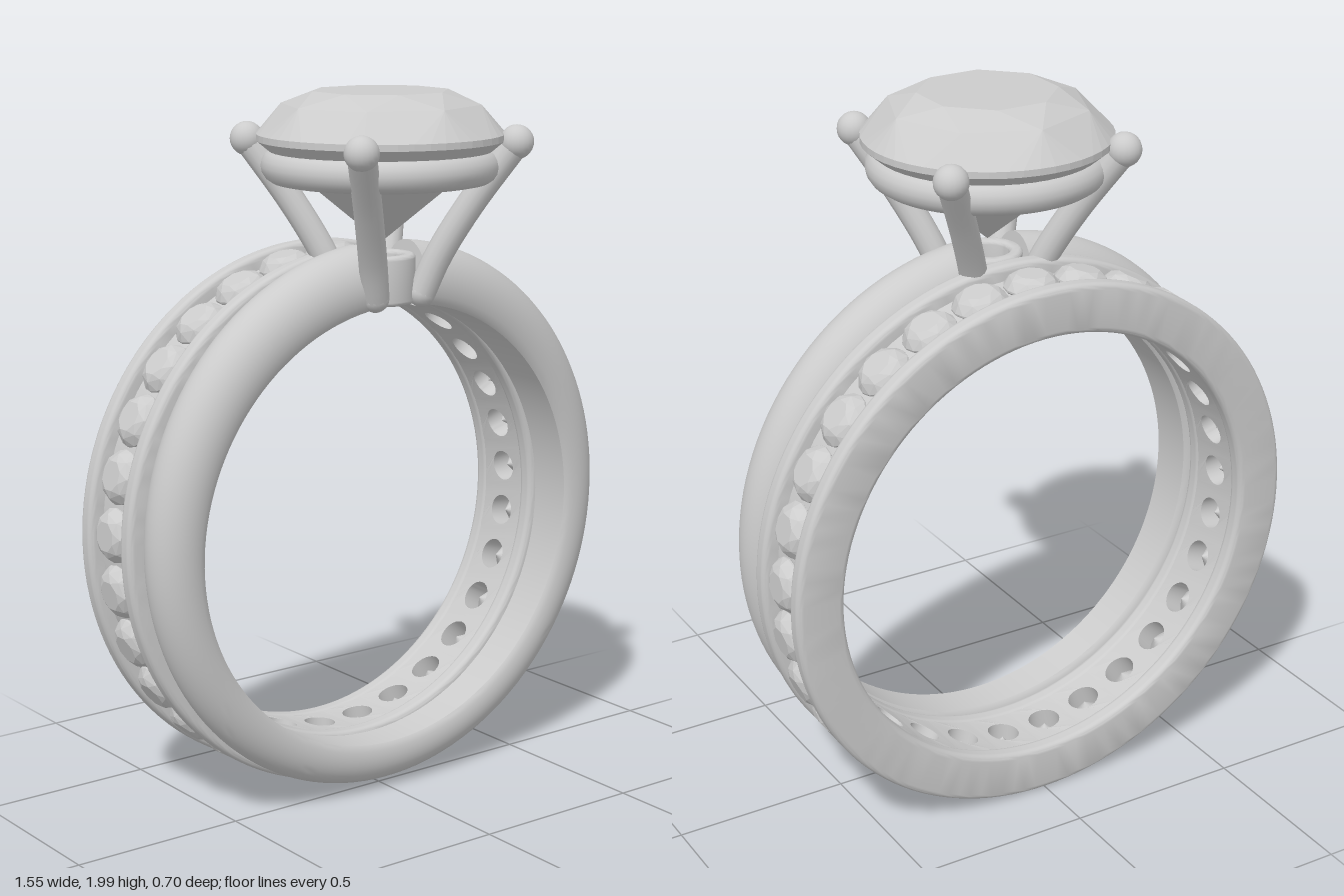
import * as THREE from 'three';
import { mergeGeometries, toCreasedNormals } from 'three/addons/utils/BufferGeometryUtils.js';
import { ConvexGeometry } from 'three/addons/geometries/ConvexGeometry.js';

const CY = 0.785;      // height of the finger hole's centre
const INNER = 0.635;   // finger hole radius
const STONES = 29;

const metal = new THREE.MeshStandardMaterial({ color: 0xcccccc });
const stone = new THREE.MeshStandardMaterial({ color: 0xcccccc, flatShading: true });

function add(parent, name, geometry, material = metal) {
  const mesh = new THREE.Mesh(geometry, material);
  mesh.name = name;
  parent.add(mesh);
  return mesh;
}

// Brilliant cut: table, crown, thin girdle and pointed pavilion; girdle top at y = 0
function gemGeometry(girdleSides) {
  const points = [new THREE.Vector3(0, -0.3, 0)];
  const circle = (n, r, y, offset) => {
    for (let i = 0; i < n; i++) {
      const a = (i + offset) / n * Math.PI * 2;
      points.push(new THREE.Vector3(r * Math.cos(a), y, r * Math.sin(a)));
    }
  };
  circle(8, 0.19, 0.115, 0.5);
  circle(8, 0.275, 0.078, 0);
  circle(girdleSides, 0.34, 0, 0);
  circle(girdleSides, 0.34, -0.018, 0);
  return new ConvexGeometry(points);
}

// Tapering shank with a flat inside and rounded outside, open under the head
function shankGeometry() {
  const steps = 128, sides = 40, gap = 0.115;
  const pos = [], index = [];
  for (let i = -1; i <= steps + 1; i++) {
    const capped = i < 0 || i > steps;
    const k = THREE.MathUtils.clamp(i / steps, 0, 1);
    const t = gap + (Math.PI * 2 - gap * 2) * k;
    const f = 0.5 + 0.5 * Math.cos(t);
    const width = 0.13 + 0.058 * f;
    const thick = 0.122 + 0.05 * f * f;
    for (let j = 0; j <= sides; j++) {
      const a = j / sides * Math.PI * 2;
      const half = capped ? 0 : 1;
      const r = Math.max(INNER, INNER + thick * (0.35 + half * 0.65 * Math.sin(a)));
      pos.push(r * Math.sin(t), r * Math.cos(t), half * width / 2 * Math.cos(a));
    }
  }
  const row = sides + 1;
  for (let i = 0; i < steps + 2; i++) {
    for (let j = 0; j < sides; j++) {
      const a = i * row + j, b = a + row;
      index.push(a, b, a + 1, b, b + 1, a + 1);
    }
  }
  const g = new THREE.BufferGeometry();
  g.setAttribute('position', new THREE.Float32BufferAttribute(pos, 3));
  g.setIndex(index);
  return toCreasedNormals(g.toNonIndexed(), 0.5);
}

// Ring with a rounded-rectangle section, around the y axis
function roundedRing(r0, r1, height, bevel, segments) {
  const pts = [], h = height / 2 - bevel;
  const corners = [[r1 - bevel, -h], [r1 - bevel, h], [r0 + bevel, h], [r0 + bevel, -h]];
  corners.forEach(([x, y], c) => {
    for (let k = 0; k <= 5; k++) {
      const a = (c - 1 + k / 5) * Math.PI / 2;
      pts.push(new THREE.Vector2(x + bevel * Math.cos(a), y + bevel * Math.sin(a)));
    }
  });
  pts.push(pts[0].clone());
  return toCreasedNormals(new THREE.LatheGeometry(pts, segments).toNonIndexed(), 0.5);
}

// Channel floor: one pierced cell per stone, bent around the finger
function channelFloor() {
  const r0 = 0.639, depth = 0.095, arc = Math.PI * 2 / STONES, v = 0.09;
  const cells = [];
  for (let i = 0; i < STONES; i++) {
    const shape = new THREE.Shape();
    shape.moveTo(-arc / 2, -v);
    for (let k = 1; k <= 4; k++) shape.lineTo(arc * (k / 4 - 0.5), -v);
    for (let k = 0; k <= 4; k++) shape.lineTo(arc * (0.5 - k / 4), v);
    const hole = new THREE.Path();
    hole.absellipse(0, 0, 0.045 / r0, 0.045, 0, Math.PI * 2, true);
    shape.holes.push(hole);
    const g = new THREE.ExtrudeGeometry(shape, { depth, bevelEnabled: false, curveSegments: 12 });
    const p = g.attributes.position;
    for (let n = 0; n < p.count; n++) {
      const t = p.getX(n) + i * arc, r = r0 + p.getZ(n);
      p.setXYZ(n, r * Math.sin(t), r * Math.cos(t), -p.getY(n));
    }
    cells.push(g);
  }
  return toCreasedNormals(mergeGeometries(cells), 0.5);
}

function solitaireRing() {
  const ring = new THREE.Group();
  ring.name = 'solitaireRing';
  ring.position.z = 0.01;
  add(ring, 'shank', shankGeometry()).position.y = CY;

  // Head: collar, seat ring and four prongs
  add(ring, 'collar', roundedRing(0.06, 0.096, 0.138, 0.012, 40)).position.y = 1.487;
  const seat = add(ring, 'seatRing', new THREE.TorusGeometry(0.28, 0.048, 16, 64));
  seat.rotation.x = Math.PI / 2;
  seat.position.y = 1.798;

  const profile = [[0.08, 1.447], [0.112, 1.55], [0.172, 1.69], [0.262, 1.865]];
  for (const sx of [-1, 1]) {
    for (const sz of [-1, 1]) {
      const path = new THREE.CatmullRomCurve3(
        profile.map(([d, y]) => new THREE.Vector3(sx * d, y, sz * d)));
      add(ring, 'prong', new THREE.TubeGeometry(path, 16, 0.039, 14));
      add(ring, 'prongTip', new THREE.SphereGeometry(0.047, 20, 14)).position.copy(path.getPoint(1));
      add(ring, 'prongFoot', new THREE.SphereGeometry(0.039, 16, 12)).position.copy(path.getPoint(0));
    }
  }
  add(ring, 'centreStone', gemGeometry(48), stone).position.y = 1.885;
  return ring;
}

function channelBand() {
  const band = new THREE.Group();
  band.name = 'channelBand';
  band.position.set(0, CY, -0.206);
  band.rotation.x = -0.018;

  // Two rails hold the stones between them
  for (const side of [-1, 1]) {
    const rail = add(band, 'rail', roundedRing(INNER, 0.775, 0.054, 0.018, 128));
    rail.rotation.x = Math.PI / 2;
    rail.position.z = side * 0.102;
  }
  add(band, 'channelFloor', channelFloor());

  const gem = gemGeometry(16);
  for (let i = 0; i < STONES; i++) {
    const t = i / STONES * Math.PI * 2;
    const mesh = add(band, 'channelStone', gem, stone);
    mesh.position.set(0.741 * Math.sin(t), 0.741 * Math.cos(t), 0);
    mesh.rotation.z = -t;
    mesh.scale.set(0.225, 0.29, 0.225);
  }
  return band;
}

export function createModel() {
  const model = new THREE.Group();
  model.name = 'ringSet';
  model.add(solitaireRing(), channelBand());
  return model;
}
